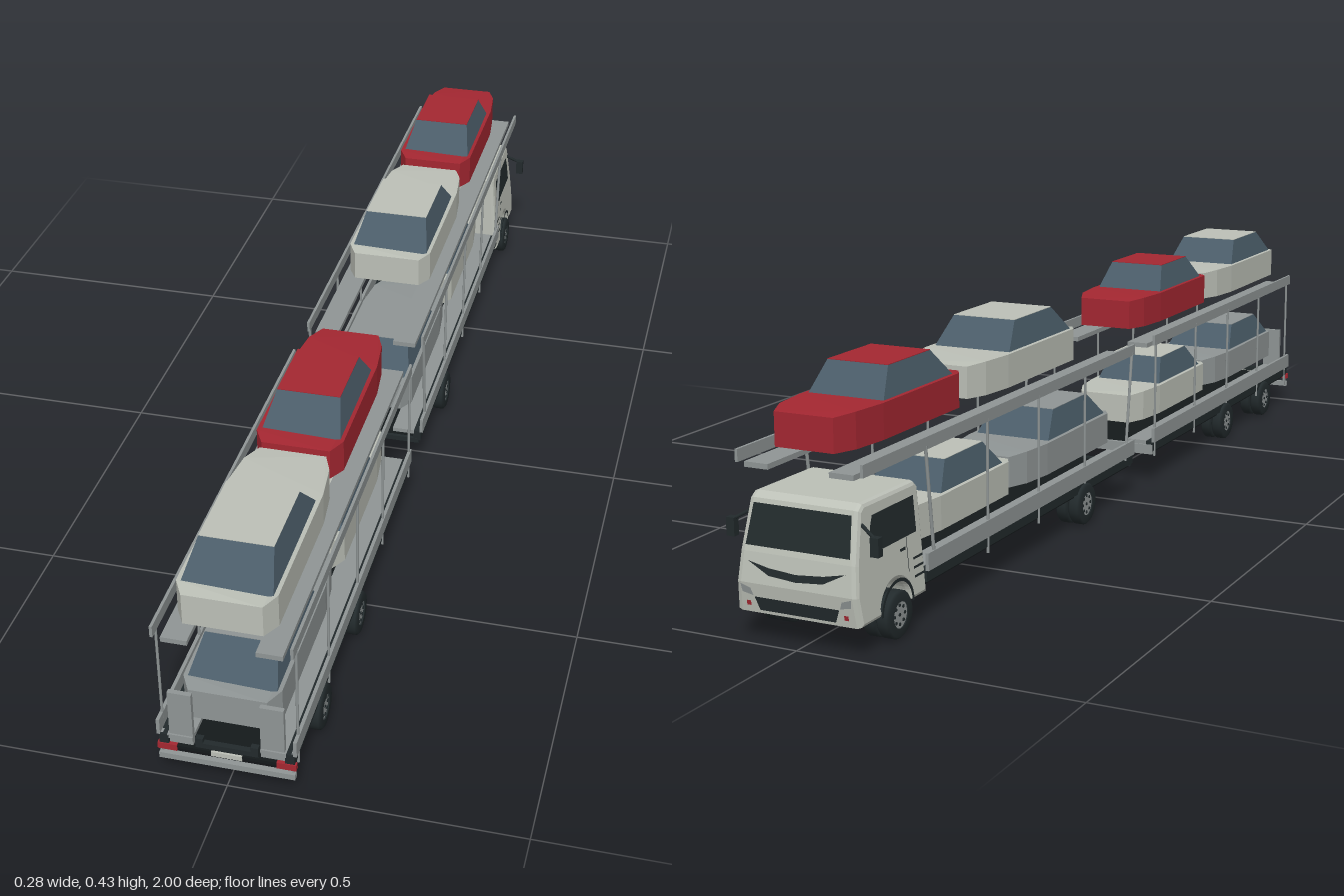
import * as THREE from 'three';

const material = (name, color) => {
  const m = new THREE.MeshStandardMaterial({ color, side: THREE.DoubleSide });
  m.name = name;
  return m;
};

export function createModel() {
  const white = material('offWhitePaint', 0xbcc0b7);
  const grey = material('greyMetal', 0x8f9595);
  const red = material('redPaint', 0xa42731);
  const glass = material('blueGlass', 0x4a5c68);
  const dark = material('darkTrim', 0x222a2c);
  const black = material('blackUnderside', 0x14191b);

  const root = new THREE.Group();
  root.name = 'carTransporter';

  const add = (parent, name, geo, mat) => {
    const m = new THREE.Mesh(geo, mat);
    m.name = name;
    parent.add(m);
    return m;
  };
  // Box given by its limits on each axis
  const box = (parent, name, mat, x0, x1, y0, y1, z0, z1) => {
    const m = add(parent, name, new THREE.BoxGeometry(Math.abs(x1 - x0), y1 - y0, Math.abs(z1 - z0)), mat);
    m.position.set((x0 + x1) / 2, (y0 + y1) / 2, (z0 + z1) / 2);
    return m;
  };
  const group = (name, parent = root) => {
    const g = new THREE.Group();
    g.name = name;
    parent.add(g);
    return g;
  };
  // Flat convex panel through a few corners
  const panel = (parent, name, mat, pts) => {
    const pos = [];
    for (let i = 1; i < pts.length - 1; i++) pos.push(...pts[0], ...pts[i], ...pts[i + 1]);
    const g = new THREE.BufferGeometry();
    g.setAttribute('position', new THREE.Float32BufferAttribute(pos, 3));
    g.computeVertexNormals();
    return add(parent, name, g, mat);
  };
  // Round bar between two points
  const bar = (parent, name, mat, a, b, r) => {
    const A = new THREE.Vector3(...a), d = new THREE.Vector3(...b).sub(A);
    const m = add(parent, name, new THREE.CylinderGeometry(r, r, d.length(), 8), mat);
    m.position.copy(A).addScaledVector(d, 0.5);
    m.quaternion.setFromUnitVectors(new THREE.Vector3(0, 1, 0), d.normalize());
    return m;
  };

  // Loaded car: origin at its tail, bonnet towards -z
  function car(name, y, zTail, paint, long) {
    const g = group(name);
    g.position.set(0, y, zTail);
    const L = long ? 0.41 : 0.388, w = long ? 0.083 : 0.078;
    const [b0, b1, t0, t1] = long ? [0.027, 0.284, 0.085, 0.234] : [0.036, 0.266, 0.09, 0.226];
    const plan = [[w - 0.017, 0], [w, 0.03], [w, L - 0.11], [w - 0.008, L - 0.04], [w - 0.024, L]];
    const outline = [...plan, ...plan.map(([x, z]) => [-x, z]).reverse()];
    const body = new THREE.ExtrudeGeometry(new THREE.Shape(outline.map(p => new THREE.Vector2(...p))),
      { depth: 0.06, bevelEnabled: false });
    body.rotateX(-Math.PI / 2);
    // Bonnet and boot drop slightly towards the ends
    const p = body.attributes.position;
    for (let i = 0; i < p.count; i++) {
      if (p.getY(i) > 0.03 && (p.getZ(i) < -L + 0.02 || p.getZ(i) > -0.01)) p.setY(i, 0.057);
    }
    body.computeVertexNormals();
    add(g, 'body', body, paint);
    const bw = w - 0.007, tw = w - 0.021, h = 0.109;
    const base = [[-bw, 0.057, -b0], [bw, 0.057, -b0], [bw, 0.057, -b1], [-bw, 0.057, -b1]];
    const top = [[-tw, h, -t0], [tw, h, -t0], [tw, h, -t1], [-tw, h, -t1]];
    ['rearWindow', 'leftWindows', 'windscreen', 'rightWindows'].forEach((n, i) => {
      const j = (i + 1) % 4;
      panel(g, n, glass, [base[i], base[j], top[j], top[i]]);
    });
    box(g, 'roof', paint, -tw, tw, h - 0.001, h + 0.001, -t0, -t1);
  }
  car('upperTruckFrontCar', 0.316, -0.573, red, false);
  car('upperTruckRearCar', 0.316, -0.13, white, true);
  car('upperTrailerFrontCar', 0.316, 0.556, red, false);
  car('upperTrailerRearCar', 0.316, 0.982, white, true);
  car('lowerTruckFrontCar', 0.118, -0.393, white, false);
  car('lowerTruckRearCar', 0.118, 0.027, grey, true);
  car('lowerTrailerFrontCar', 0.118, 0.556, white, false);
  car('lowerTrailerRearCar', 0.118, 0.978, grey, true);

  // Two-storey carrier frame
  function deck(name, zRear, zFront, zTopFront, posts) {
    const g = group(name);
    box(g, 'floorPan', black, -0.108, 0.108, 0.06, 0.066, zRear, zFront);
    for (const s of [-1, 1]) {
      box(g, 'lowerRail', grey, s * 0.112, s * 0.118, 0.085, 0.115, zRear, zFront);
      box(g, 'lowerBeam', dark, s * 0.098, s * 0.114, 0.066, 0.087, zRear, zFront);
      box(g, 'lowerTrack', grey, s * 0.057, s * 0.1, 0.08, 0.088, zRear, zFront);
      box(g, 'upperRail', grey, s * 0.112, s * 0.117, 0.289, 0.31, zRear, zTopFront);
      box(g, 'upperTrack', grey, s * 0.056, s * 0.1, 0.283, 0.292, zRear, zTopFront);
      for (const z of posts) bar(g, 'post', grey, [s * 0.114, 0.055, z], [s * 0.115, 0.295, z], 0.0025);
    }
    return g;
  }
  const truck = deck('truckDeck', 0.053, -0.786, -0.98, [-0.177, -0.374, -0.572]);
  const trailer = deck('trailerDeck', 0.995, 0.155, 0.155, [0.973, 0.778, 0.578, 0.385, 0.165]);
  for (const s of [-1, 1]) {
    bar(truck, 'rearBrace', grey, [s * 0.114, 0.08, 0.015], [s * 0.115, 0.295, 0.043], 0.003);
    bar(truck, 'cabBrace', grey, [s * 0.114, 0.1, -0.76], [s * 0.115, 0.295, -0.785], 0.003);
    box(trailer, 'foldedRamp', grey, s * 0.057, s * 0.097, 0.07, 0.175, 0.983, 0.992);
    box(trailer, 'tailLight', red, s * 0.084, s * 0.117, 0.056, 0.068, 0.988, 0.997);
    box(trailer, 'bumperBracket', grey, s * 0.108, s * 0.113, 0.04, 0.087, 0.982, 0.992);
    box(trailer, 'latch', dark, s * 0.04, s * 0.053, 0.07, 0.088, 0.984, 0.994);
  }
  box(trailer, 'rearBumper', grey, -0.115, 0.115, 0.037, 0.048, 0.988, 0.998);
  box(trailer, 'latchBar', dark, -0.053, 0.053, 0.069, 0.079, 0.984, 0.994);
  box(trailer, 'numberPlate', white, -0.026, 0.026, 0.058, 0.067, 0.993, 0.997);
  box(trailer, 'frontCrossbeam', grey, -0.114, 0.114, 0.06, 0.08, 0.152, 0.16);
  box(truck, 'rearCrossbeam', dark, -0.11, 0.11, 0.06, 0.07, 0.047, 0.054);

  // Wheels with lathe tyres and pale hubs
  const tyre = new THREE.LatheGeometry([[0.022, -0.012], [0.036, -0.012], [0.04, -0.008], [0.04, 0.008],
    [0.036, 0.012], [0.022, 0.012]].map(p => new THREE.Vector2(...p)), 24).rotateZ(Math.PI / 2);
  const hub = new THREE.CylinderGeometry(0.024, 0.024, 0.018, 16).rotateZ(Math.PI / 2);
  const nut = new THREE.CylinderGeometry(0.003, 0.003, 0.003, 6).rotateZ(Math.PI / 2);
  for (const z of [0.823, 0.572, -0.177, -0.882]) {
    const axle = group('axle');
    axle.position.set(0, 0.041, z);
    bar(axle, 'axleBar', dark, [-0.09, 0, 0], [0.09, 0, 0], 0.006);
    for (const s of [-1, 1]) {
      for (const x of [0.083, 0.109]) {
        add(axle, 'tyre', tyre, dark).position.x = s * x;
        add(axle, 'hub', hub, grey).position.x = s * x;
      }
      for (let i = 0; i < 8; i++) {
        const a = i * Math.PI / 4;
        add(axle, 'hubHole', nut, dark).position.set(s * 0.118, 0.016 * Math.cos(a), 0.016 * Math.sin(a));
      }
      add(axle, 'hubCap', nut, dark).position.x = s * 0.118;
    }
  }

  // Cab shell: side profile with wheel arch, narrowing towards the roof
  const cab = group('cab');
  const half = y => 0.116 - 0.084 * (y - 0.05);
  const prof = new THREE.Shape();
  prof.moveTo(-0.786, 0.05);
  prof.lineTo(-0.786, 0.228);
  prof.lineTo(-0.797, 0.239);
  prof.lineTo(-0.955, 0.241);
  prof.lineTo(-0.968, 0.232);
  prof.lineTo(-0.99, 0.15);
  prof.lineTo(-0.997, 0.1);
  prof.lineTo(-0.99, 0.05);
  prof.lineTo(-0.932, 0.05);
  prof.absarc(-0.882, 0.05, 0.047, Math.PI, 0, true);
  const shell = new THREE.ExtrudeGeometry(prof, { depth: 0.212, bevelThickness: 0.01, bevelSize: 0.007,
    bevelOffset: -0.007, bevelSegments: 2, curveSegments: 12 });
  shell.rotateY(-Math.PI / 2).translate(0.106, 0, 0);
  const sp = shell.attributes.position;
  for (let i = 0; i < sp.count; i++) sp.setX(i, sp.getX(i) * half(sp.getY(i)) / 0.116);
  shell.computeVertexNormals();
  add(cab, 'shell', shell, white);

  // Cab front details lie just ahead of the sloping nose
  const nose = y => (y > 0.15 ? -0.99 + (y - 0.15) * 0.268 : y > 0.1 ? -0.997 + (y - 0.1) * 0.14
    : -0.99 - (y - 0.05) * 0.14) - 0.002;
  const face = (name, mat, pts) => panel(cab, name, mat, pts.map(([x, y]) => [x, y, nose(y)]));
  face('windscreen', dark, [[-0.096, 0.16], [0.096, 0.16], [0.09, 0.225], [-0.09, 0.225]]);
  face('lowerGrille', dark, [[-0.07, 0.056], [0.07, 0.056], [0.078, 0.078], [-0.078, 0.078]]);
  for (const s of [-1, 1]) {
    face('grilleSlot', dark, [[0, 0.112], [s * 0.05, 0.116], [s * 0.09, 0.136], [s * 0.05, 0.128], [0, 0.124]]);
    face('headlight', grey, [[s * 0.08, 0.08], [s * 0.1, 0.084], [s * 0.102, 0.098], [s * 0.084, 0.092]]);
    face('marker', red, [[s * 0.086, 0.062], [s * 0.094, 0.062], [s * 0.094, 0.07], [s * 0.086, 0.07]]);
    // Side glazing, door lines and handle
    const side = (name, mat, pts) => panel(cab, name, mat, pts.map(([z, y]) => [s * (half(y) + 0.0015), y, z]));
    side('sideWindow', dark, [[-0.808, 0.158], [-0.95, 0.158], [-0.944, 0.2], [-0.935, 0.218], [-0.808, 0.218]]);
    side('doorLine', dark, [[-0.84, 0.1], [-0.8415, 0.1], [-0.8415, 0.158], [-0.84, 0.158]]);
    side('doorHandle', dark, [[-0.845, 0.138], [-0.862, 0.138], [-0.862, 0.143], [-0.845, 0.143]]);
    for (const y of [0.085, 0.1, 0.115]) {
      side('sideVent', dark, [[-0.795, y], [-0.825, y], [-0.825, y + 0.004], [-0.795, y + 0.004]]);
    }
    const arch = add(cab, 'wheelArch', new THREE.RingGeometry(0.045, 0.051, 16, 1, 0, Math.PI), dark);
    arch.rotation.y = Math.PI / 2;
    arch.position.set(s * 0.1165, 0.05, -0.882);
    // Mirrors
    box(cab, 'mirror', dark, s * 0.125, s * 0.14, 0.165, 0.196, -0.965, -0.978);
    bar(cab, 'mirrorArm', dark, [s * 0.1, 0.21, -0.962], [s * 0.132, 0.192, -0.972], 0.003);
  }
  return root;
}
